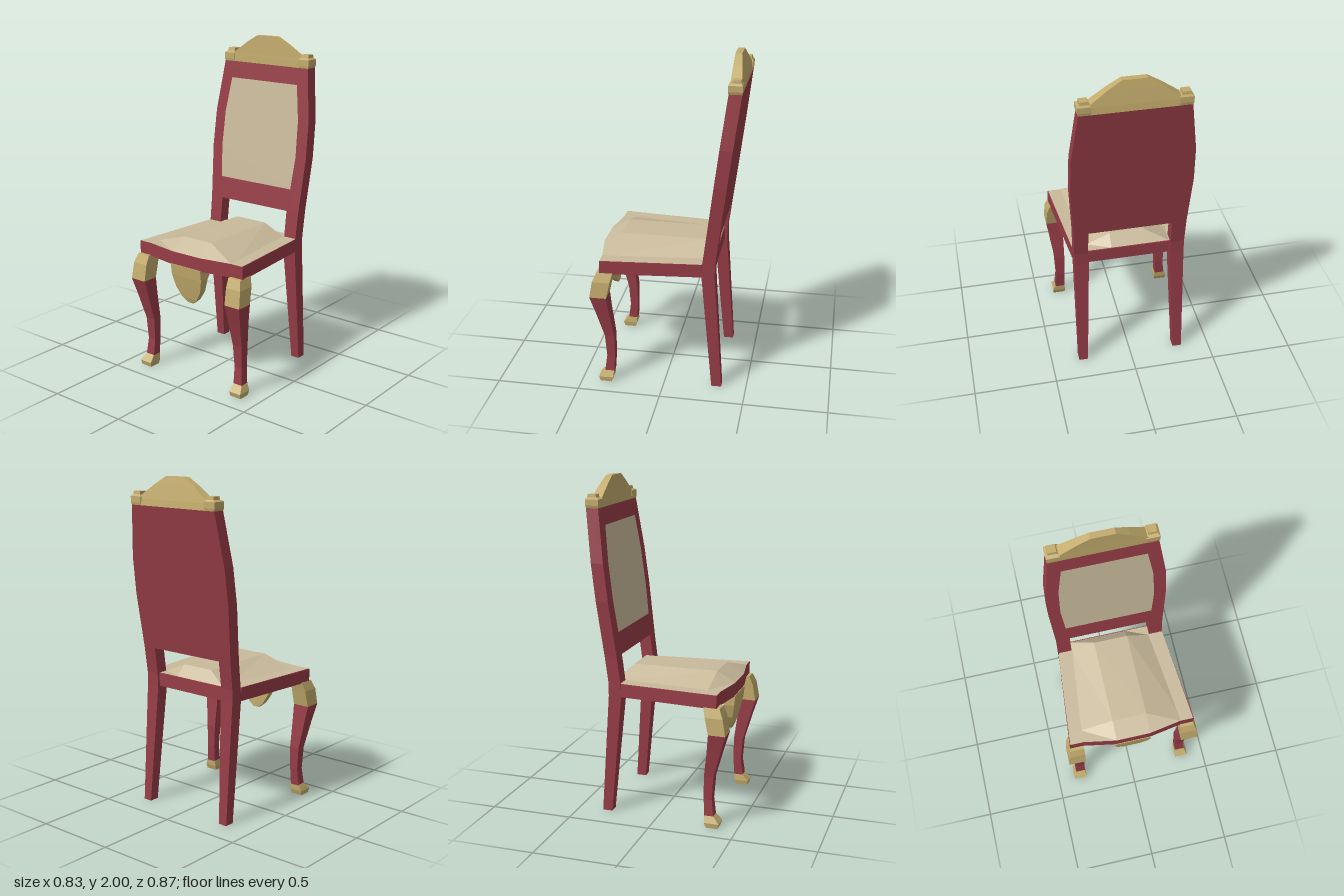
import * as THREE from 'three';

const material = (color) => new THREE.MeshStandardMaterial({ color, flatShading: true, side: THREE.DoubleSide });

// Flat-shaded loft through rectangles [y, x0, x1, z0, z1], listed bottom to top.
function loft(sections, side = 1) {
  const rings = sections.map(([y, a, b, z0, z1]) => {
    const [x0, x1] = side > 0 ? [a, b] : [-b, -a];
    return [[x0, y, z1], [x1, y, z1], [x1, y, z0], [x0, y, z0]];
  });
  const pos = [];
  const quad = (a, b, c, d) => pos.push(...a, ...b, ...c, ...a, ...c, ...d);
  for (let r = 0; r < rings.length - 1; r++) {
    for (let i = 0; i < 4; i++) {
      const j = (i + 1) % 4;
      quad(rings[r][i], rings[r][j], rings[r + 1][j], rings[r + 1][i]);
    }
  }
  quad(...[...rings[0]].reverse());
  quad(...rings[rings.length - 1]);
  return fromTriangles(pos);
}

function fromTriangles(pos) {
  const g = new THREE.BufferGeometry();
  g.setAttribute('position', new THREE.Float32BufferAttribute(pos, 3));
  g.computeVertexNormals();
  return g;
}

// Closed shape from its right half, mirrored in x.
function mirroredShape(half) {
  const points = [...half, ...[...half].reverse().map(([x, y]) => [-x, y])];
  return new THREE.Shape(points.map(([x, y]) => new THREE.Vector2(x, y)));
}

// Lean the backrest: z shifts backwards with height above the seat.
function lean(geometry, z) {
  const p = geometry.attributes.position;
  for (let i = 0; i < p.count; i++) {
    p.setZ(i, p.getZ(i) + z - (p.getY(i) - 0.81) * 0.1275);
  }
  geometry.computeVertexNormals();
  return geometry;
}

// Domed seat cushion: a grid of rows [z, edgeX, slopeX, crownY, crownZ].
function cushionGeometry() {
  const base = 0.812;
  const rows = [
    [-0.28, 0.25, 0.245, base, -0.28],
    [-0.22, 0.335, 0.245, 0.875, -0.22],
    [0.30, 0.379, 0.3, 0.875, 0.30],
    [0.375, 0.385, 0.305, base, 0.41],
  ].map(([z, edge, slope, crownY, crownZ]) => [
    [-edge, base, z], [-slope, base, z], [-0.105, crownY, crownZ],
    [0.105, crownY, crownZ], [slope, base, z], [edge, base, z],
  ]);
  const pos = [];
  for (let r = 0; r < rows.length - 1; r++) {
    for (let c = 0; c < 5; c++) {
      const a = rows[r][c], b = rows[r + 1][c], d = rows[r + 1][c + 1], e = rows[r][c + 1];
      pos.push(...a, ...b, ...d, ...a, ...d, ...e);
    }
  }
  return fromTriangles(pos);
}

export function createModel() {
  const group = new THREE.Group();
  const red = material(0x963c46);
  const gold = material(0xc2ab6c);
  const cream = material(0xc9ba9b);
  const add = (name, geometry, mat) => {
    const mesh = new THREE.Mesh(geometry, mat);
    mesh.name = name;
    group.add(mesh);
  };

  // Seat rail with bowed front, notched in between the rear posts
  const plan = mirroredShape([
    [0.25, -0.285], [0.25, -0.222], [0.335, -0.222], [0.39, 0.375], [0.305, 0.375], [0.105, 0.41],
  ]);
  const rail = new THREE.ExtrudeGeometry(plan, { depth: 0.08, bevelEnabled: false });
  rail.rotateX(Math.PI / 2).translate(0, 0.81, 0);
  add('seatRail', rail, red);
  add('seatCushion', cushionGeometry(), cream);

  // Leaning backrest with its two posts, and upholstered panel
  const frame = mirroredShape([
    [0.25, 0.97], [0.25, 0.81], [0.333, 0.81], [0.336, 0.97], [0.355, 1.3], [0.35, 1.52], [0.31, 1.83],
  ]);
  const frameGeometry = new THREE.ExtrudeGeometry(frame, { depth: 0.075, bevelEnabled: false });
  add('backrest', lean(frameGeometry, -0.3), red);
  const panel = mirroredShape([[0.265, 1.105], [0.282, 1.3], [0.276, 1.52], [0.245, 1.73]]);
  add('backPanel', lean(new THREE.ShapeGeometry(panel), -0.222), cream);

  // Arched crest
  add('crest', loft([
    [1.83, -0.31, 0.31, -0.43, -0.355],
    [1.87, -0.29, 0.29, -0.425, -0.356],
    [1.885, -0.245, 0.245, -0.422, -0.357],
    [1.955, -0.145, 0.145, -0.408, -0.359],
    [2.0, -0.07, 0.07, -0.398, -0.36],
  ]), gold);

  // Pendant ornament under the front rail
  add('apronOrnament', loft([
    [0.5, -0.02, 0.02, 0.345, 0.37],
    [0.53, -0.055, 0.055, 0.345, 0.38],
    [0.59, -0.092, 0.092, 0.345, 0.392],
    [0.67, -0.112, 0.112, 0.345, 0.407],
    [0.735, -0.112, 0.112, 0.3, 0.414],
  ]), gold);

  for (const [label, side] of [['left', 1], ['right', -1]]) {
    add(`${label}RearLeg`, loft([
      [0, 0.275, 0.33, -0.35, -0.29],
      [0.73, 0.247, 0.333, -0.3, -0.222],
      [0.81, 0.25, 0.333, -0.3, -0.225],
    ], side), red);

    // Curved front leg with gold knee and foot
    add(`${label}FrontLeg`, loft([
      [0.065, 0.315, 0.375, 0.305, 0.36],
      [0.17, 0.313, 0.366, 0.298, 0.347],
      [0.31, 0.308, 0.372, 0.3, 0.357],
      [0.47, 0.308, 0.395, 0.322, 0.402],
      [0.58, 0.308, 0.413, 0.334, 0.435],
    ], side), red);
    add(`${label}FrontKnee`, loft([
      [0.58, 0.308, 0.413, 0.334, 0.435],
      [0.68, 0.306, 0.407, 0.312, 0.418],
      [0.735, 0.305, 0.39, 0.298, 0.395],
    ], side), gold);
    add(`${label}FrontFoot`, loft([
      [0, 0.315, 0.388, 0.318, 0.388],
      [0.03, 0.31, 0.392, 0.308, 0.396],
      [0.07, 0.315, 0.375, 0.305, 0.36],
    ], side), gold);

    // Corner block on top of the backrest post
    add(`${label}CornerBlock`, loft([
      [1.83, 0.245, 0.31, -0.43, -0.354],
      [1.845, 0.237, 0.315, -0.433, -0.352],
      [1.88, 0.237, 0.315, -0.433, -0.352],
      [1.89, 0.25, 0.302, -0.425, -0.37],
      [1.908, 0.252, 0.3, -0.422, -0.374],
    ], side), gold);
  }
  return group;
}
